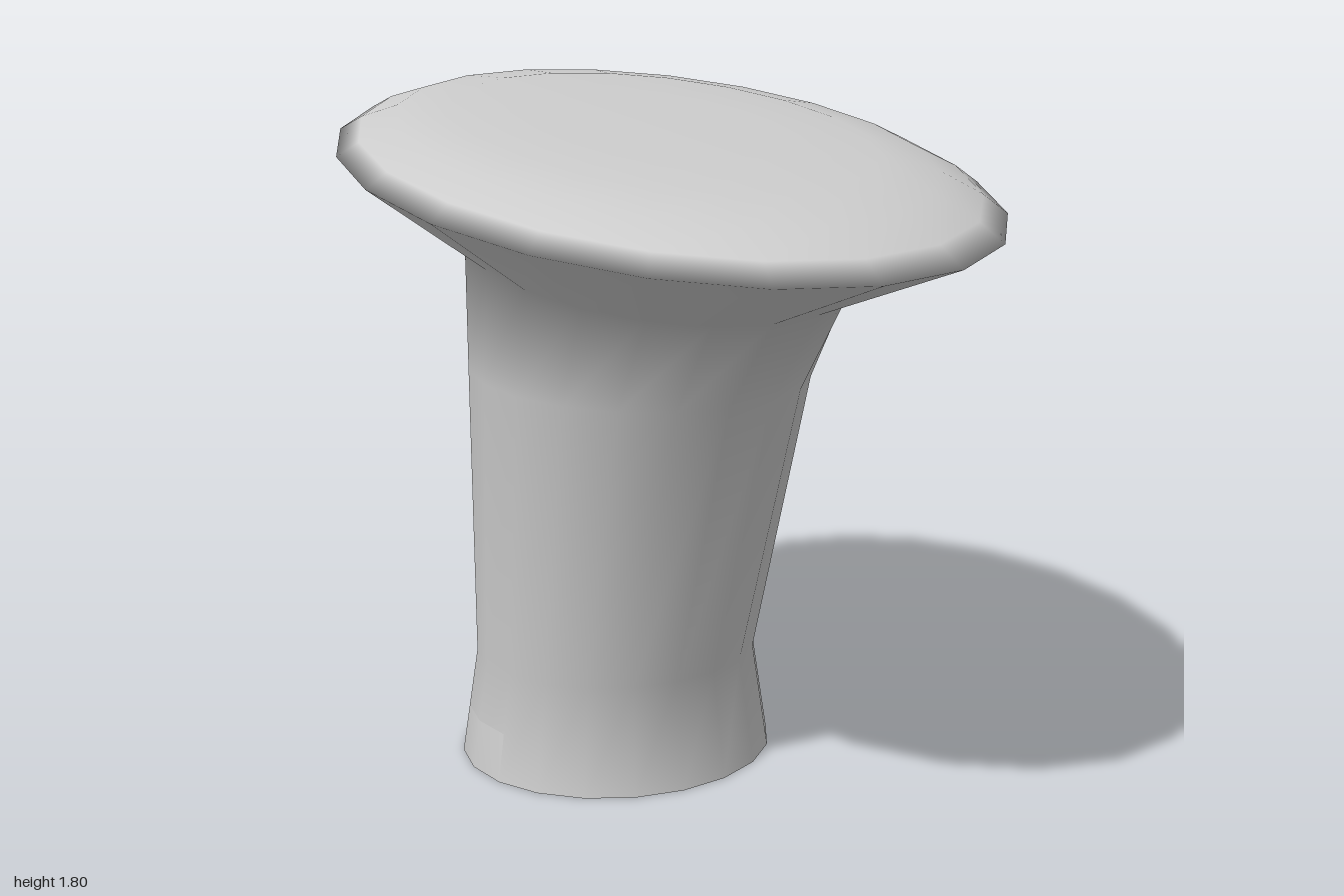
import * as THREE from 'three';

const SIDES = 20;

// Ring: centre height y, centre depth z, half width rx, half depth rz,
// and tilt (rise in y per unit towards the back).
const ring = (y, z, rx, rz, tilt = 0) => ({ y, z, rx, rz, tilt });

// Skin a list of rings (bottom to top on outward faces); a ring of radius 0 closes an end.
function loft(name, rings) {
  const pos = [];
  const index = [];
  for (const r of rings) {
    for (let i = 0; i < SIDES; i++) {
      const a = (i / SIDES) * Math.PI * 2;
      const dz = r.rz * Math.cos(a);
      pos.push(r.rx * Math.sin(a), r.y - r.tilt * dz, r.z + dz);
    }
  }
  for (let j = 0; j < rings.length - 1; j++) {
    for (let i = 0; i < SIDES; i++) {
      const k = (i + 1) % SIDES;
      const a = j * SIDES + i, b = j * SIDES + k;
      const c = a + SIDES, d = b + SIDES;
      if (rings[j].rx > 0) index.push(a, b, d);
      if (rings[j + 1].rx > 0) index.push(a, d, c);
      else if (rings[j].rx > 0) index.splice(index.length - 3, 3, a, b, c);
    }
  }
  const geo = new THREE.BufferGeometry();
  geo.setAttribute('position', new THREE.Float32BufferAttribute(pos, 3));
  geo.setIndex(index);
  geo.computeVertexNormals();
  const mesh = new THREE.Mesh(geo, new THREE.MeshStandardMaterial({ color: 0xcccccc }));
  mesh.name = name;
  return mesh;
}

export function createModel() {
  const group = new THREE.Group();
  group.name = 'knob';

  // Flared foot, leaning neck, wide tilted head with a softly domed top
  const headRing = (scale, lift) =>
    ring(1.615 + lift, 0, 0.77 * scale, scale, 0.125);
  group.add(loft('neckAndHead', [
    ring(0, -0.265, 0.43, 0.395),
    ring(0.29, -0.265, 0.385, 0.355),
    ring(1.09, -0.128, 0.433, 0.483, 0.02),
    ring(1.395, -0.042, 0.457, 0.593, 0.118),
    headRing(1, 0),
    headRing(0.93, 0.038),
    headRing(0.81, 0.08),
    headRing(0.64, 0.105),
    headRing(0.35, 0.11),
    headRing(0, 0.11),
  ]));

  // Shallow recess in the underside: wall, then its closed end
  const recess = ring(0.13, -0.265, 0.41, 0.375);
  group.add(loft('recessWall', [recess, ring(0, -0.265, 0.43, 0.395)]));
  group.add(loft('recessCap', [ring(0.13, -0.265, 0, 0), recess]));

  // The recess faces inwards and down, so reverse its corners
  for (const name of ['recessWall', 'recessCap']) {
    const geo = group.getObjectByName(name).geometry;
    const idx = geo.index.array;
    for (let i = 0; i < idx.length; i += 3) [idx[i], idx[i + 1]] = [idx[i + 1], idx[i]];
    geo.computeVertexNormals();
  }
  // Cap lies flat: keep its triangles facing down
  const cap = group.getObjectByName('recessCap');
  if (cap.geometry.attributes.normal.getY(SIDES) > 0) {
    const idx = cap.geometry.index.array;
    for (let i = 0; i < idx.length; i += 3) [idx[i], idx[i + 1]] = [idx[i + 1], idx[i]];
    cap.geometry.computeVertexNormals();
  }
  return group;
}
